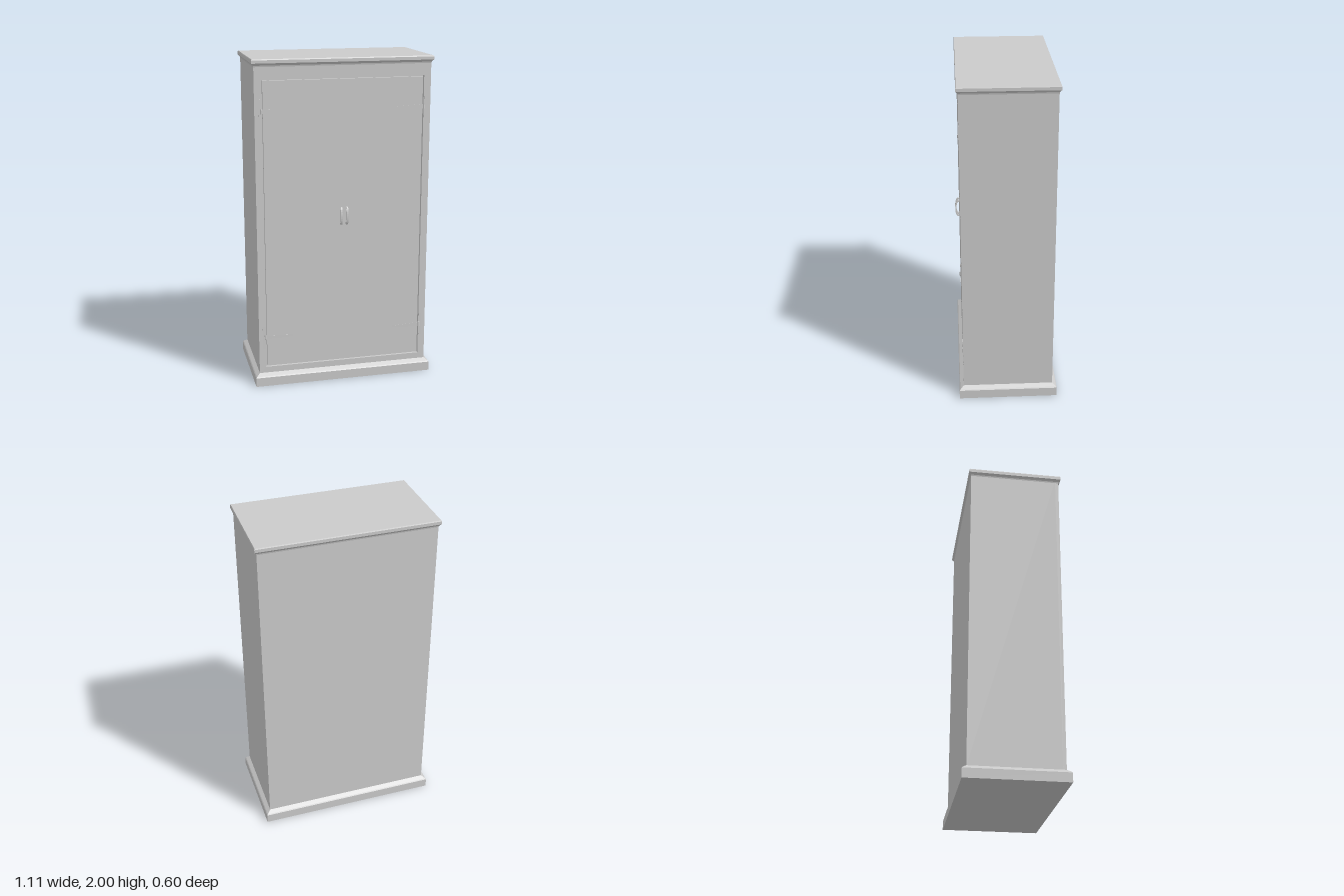
import * as THREE from 'three';

const FRONT = 0.27, BACK = -0.28, HALF = 0.53;
const material = new THREE.MeshStandardMaterial({ color: 0xcccccc, flatShading: true });

function add(parent, name, geometry, x = 0, y = 0, z = 0) {
  const mesh = new THREE.Mesh(geometry, material);
  mesh.name = name;
  mesh.position.set(x, y, z);
  parent.add(mesh);
  return mesh;
}

// Box between two corners
function block(parent, name, x0, x1, y0, y1, z0, z1) {
  return add(parent, name, new THREE.BoxGeometry(x1 - x0, y1 - y0, z1 - z0),
    (x0 + x1) / 2, (y0 + y1) / 2, (z0 + z1) / 2);
}

// Rectangular moulding: each profile row is [height, overhang beyond the body]
function moulding(parent, name, profile) {
  const n = profile.length - 1;
  const g = new THREE.BoxGeometry(2, n, 2, 1, n, 1);
  const p = g.attributes.position;
  for (let i = 0; i < p.count; i++) {
    const [y, out] = profile[Math.round(p.getY(i) + n / 2)];
    p.setXYZ(i, p.getX(i) * (HALF + out), y, p.getZ(i) > 0 ? FRONT + out : BACK - out);
  }
  const flat = g.toNonIndexed();
  flat.computeVertexNormals();
  add(parent, name, flat);
}

// Front frame with the door opening cut out
function frontFrame(depth) {
  const shape = new THREE.Shape([[-HALF, 0.07], [HALF, 0.07], [HALF, 1.97], [-HALF, 1.97]]
    .map(([x, y]) => new THREE.Vector2(x, y)));
  shape.holes.push(new THREE.Path([[-0.488, 0.116], [-0.488, 1.884], [0.488, 1.884], [0.488, 0.116]]
    .map(([x, y]) => new THREE.Vector2(x, y))));
  return new THREE.ExtrudeGeometry(shape, { depth, bevelEnabled: false });
}

// Bow handle, drawn from the side (z, y) and given its width along x
function handleGeometry() {
  const s = new THREE.Shape();
  s.moveTo(0, -0.054);
  s.lineTo(0.012, -0.054);
  s.bezierCurveTo(0.032, -0.042, 0.032, 0.042, 0.012, 0.054);
  s.lineTo(0, 0.054);
  s.lineTo(0, 0.044);
  s.lineTo(0.009, 0.044);
  s.bezierCurveTo(0.023, 0.034, 0.023, -0.034, 0.009, -0.044);
  s.lineTo(0, -0.044);
  const g = new THREE.ExtrudeGeometry(s, { depth: 0.011, bevelEnabled: false, curveSegments: 10 });
  return g.translate(0, 0, -0.0055).rotateY(-Math.PI / 2);
}

// Hinge: frame leaf, knuckle and a strap tapering across the door
function addHinge(parent, side, y) {
  const hinge = new THREE.Group();
  hinge.name = 'hinge';
  hinge.position.set(side * 0.487, y, FRONT);
  add(hinge, 'hingeLeaf', new THREE.BoxGeometry(0.016, 0.14, 0.003), side * 0.012, 0, 0);
  add(hinge, 'hingeKnuckle', new THREE.CylinderGeometry(0.006, 0.006, 0.03, 10), side * 0.003, 0, 0.001);
  const strap = new THREE.BoxGeometry(0.17, 0.026, 0.003);
  const p = strap.attributes.position;
  for (let i = 0; i < p.count; i++) {
    if (p.getX(i) * side < 0) p.setY(i, p.getY(i) * 0.3);
  }
  strap.computeVertexNormals();
  add(hinge, 'hingeStrap', strap, -side * 0.085, 0, -0.0005);
  parent.add(hinge);
}

export function createModel() {
  const model = new THREE.Group();
  model.name = 'cupboard';

  // Body
  block(model, 'carcass', -HALF, HALF, 0.07, 1.97, BACK, FRONT - 0.02);
  add(model, 'frontFrame', frontFrame(0.02), 0, 0, FRONT - 0.02);

  // Base and top mouldings
  moulding(model, 'plinth', [[0, 0.027], [0.056, 0.027], [0.062, 0.022], [0.078, 0]]);
  moulding(model, 'cornice', [[1.955, 0], [1.963, 0.002], [1.97, 0.007], [1.976, 0.013],
    [1.994, 0.013], [2, 0.01]]);

  // Doors with their handles and hinges
  for (const side of [-1, 1]) {
    const door = new THREE.Group();
    door.name = side > 0 ? 'leftDoor' : 'rightDoor';
    block(door, 'doorPanel', side > 0 ? 0 : -0.481, side > 0 ? 0.481 : 0,
      0.123, 1.877, FRONT - 0.02, FRONT);
    add(door, 'handle', handleGeometry(), side * 0.018, 1.055, FRONT);
    for (const y of [0.31, 1.7]) addHinge(door, side, y);
    model.add(door);
  }
  return model;
}
